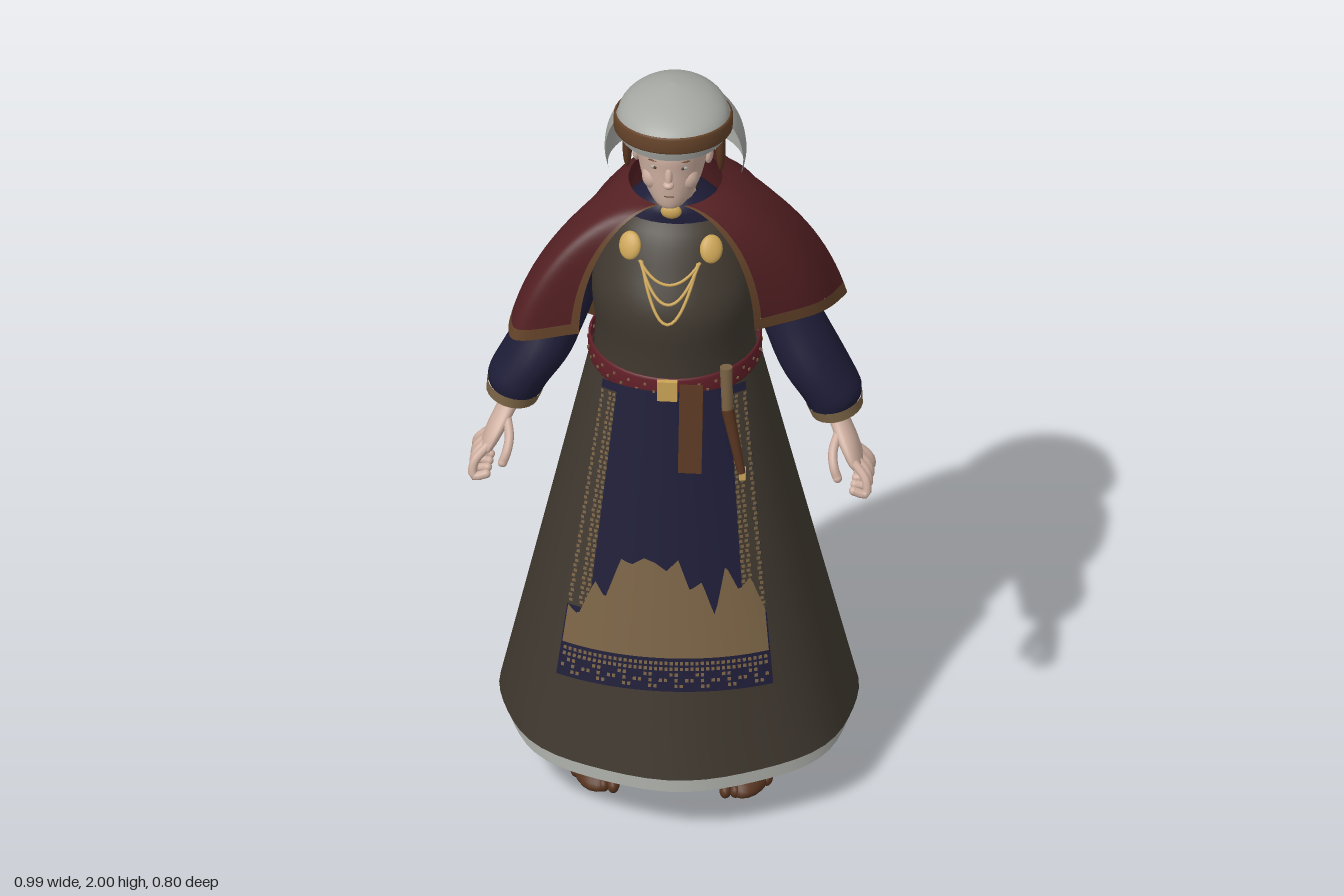
import * as THREE from 'three';
import { mergeVertices, mergeGeometries } from 'three/addons/utils/BufferGeometryUtils.js';

const mat = (name, color) => Object.assign(new THREE.MeshStandardMaterial({ color, side: THREE.DoubleSide }), { name });
const { sin, cos, sqrt, PI } = Math;
const lerp = THREE.MathUtils.lerp;

// Surface from a rule fn(u, v) -> [x, y, z] over a rectangle of u and v
function patch(fn, nu, nv, u0 = 0, u1 = 1, v0 = 0, v1 = 1) {
  const pos = [], idx = [];
  for (let j = 0; j <= nv; j++)
    for (let i = 0; i <= nu; i++) pos.push(...fn(lerp(u0, u1, i / nu), lerp(v0, v1, j / nv)));
  for (let j = 0; j < nv; j++)
    for (let i = 0; i < nu; i++) {
      const a = j * (nu + 1) + i, c = a + nu + 1;
      idx.push(a, a + 1, c, a + 1, c + 1, c);
    }
  let g = new THREE.BufferGeometry();
  g.setAttribute('position', new THREE.Float32BufferAttribute(pos, 3));
  g.setIndex(idx);
  g = mergeVertices(g, 1e-5);
  g.computeVertexNormals();
  return g;
}

// Smoothly interpolated cross-section [x, y, z, rx, rz]
function section(S, t) {
  const f = t * (S.length - 1), i = Math.min(Math.floor(f), S.length - 2), w = f - i;
  const p = (k) => S[Math.max(0, Math.min(S.length - 1, k))];
  return S[0].map((_, c) => {
    const [a, b, d, e] = [p(i - 1)[c], p(i)[c], p(i + 1)[c], p(i + 2)[c]];
    const m = (d - a) / 2, n = (e - b) / 2;
    return b + m * w + (3 * (d - b) - 2 * m - n) * w * w + (2 * (b - d) + m + n) * w ** 3;
  });
}

// Stack of horizontal ellipses, listed from bottom to top
function loft(S, nu = 32, k = 4, a0 = 0, a1 = 2 * PI) {
  return patch((u, v) => {
    const [x, y, z, rx, rz] = section(S, v), a = lerp(a0, a1, u);
    return [x + Math.max(rx, 0) * sin(a), y, z + Math.max(rz, 0) * cos(a)];
  }, nu, (S.length - 1) * k);
}

export function createModel() {
  const M = {
    dress: mat('dress wool', 0x403930), linen: mat('linen', 0xa6a8a3), navy: mat('navy cloth', 0x1e1d38),
    cape: mat('cape red', 0x542023), trim: mat('trim brown', 0x66442a), tan: mat('embroidery tan', 0x7a6345),
    gold: mat('gold', 0xcaa355), skin: mat('skin', 0xcfb0a1), leather: mat('leather', 0x583520), belt: mat('belt red', 0x621f28),
  };
  const root = new THREE.Group();
  const add = (name, geo, m, p = [0, 0, 0], r = [0, 0, 0]) => {
    const mesh = new THREE.Mesh(geo, m);
    mesh.name = name;
    mesh.position.set(...p);
    mesh.rotation.set(...r);
    root.add(mesh);
    return mesh;
  };
  const blob = (name, m, p, s, r) => add(name, new THREE.SphereGeometry(1, 16, 12), m, p, r).scale.set(...s);
  const tube = (pts, r, n = 12) =>
    new THREE.TubeGeometry(new THREE.CatmullRomCurve3(pts.map((p) => new THREE.Vector3(...p))), n, r, 8);

  // Skirt and linen underskirt
  const skirtAt = (y) => {
    const t = (y - 0.185) / 1.035;
    return { cx: 0.008 * (1 - t), cz: 0.025 * t, rx: lerp(0.44, 0.205, t), rz: lerp(0.402, 0.212, t), t };
  };
  const skirtRule = (k, y0, y1) => (u, v) => {
    const y = lerp(y0, y1, v), s = skirtAt(y), a = u * 2 * PI;
    const f = k * (1 + 0.012 * sin(7 * a + 1) * (1 - s.t));
    return [s.cx + f * s.rx * sin(a), y, s.cz + f * s.rz * cos(a)];
  };
  add('skirt', patch(skirtRule(1, 0.185, 1.22), 56, 12), M.dress);
  add('underskirt', patch(skirtRule(0.94, 0.14, 1.1), 56, 10), M.linen);

  // Apron: u runs -1..1 across, v is the height
  const apronRule = (off) => (u, y) => {
    const s = skirtAt(y), t = (y - 0.43) / 0.79;
    const x = u * lerp(0.267, 0.175, t) + 0.012 * t;
    return [x, y, s.cz + s.rz * sqrt(1 - (x / (s.rx * 1.25)) ** 2) + lerp(0.02, 0.012, t) + off];
  };
  add('apron', patch(apronRule(0), 20, 14, -1, 1, 0.43, 1.22), M.navy);
  const jag = [0.62, 0.6, 0.7, 0.66, 0.77, 0.76, 0.78, 0.77, 0.75, 0.78, 0.7, 0.72, 0.63, 0.76, 0.69, 0.72, 0.62];
  const jagged = (u, v) => {
    const f = ((u + 1) / 2) * 16, i = Math.min(15, Math.floor(f));
    return apronRule(0.004)(u, lerp(0.52, lerp(jag[i], jag[i + 1], f - i), v));
  };
  add('apronPanel', patch(jagged, 64, 4, -0.99, 0.99), M.tan);
  const bits = [];
  for (let i = 0; i < 40; i++)
    for (let j = 0; j < 5; j++) {
      if ((i * i + j * 3 + i * j) % 5 < 2) continue;
      const u = -0.97 + i * 0.049, y = 0.442 + j * 0.015;
      bits.push(patch(apronRule(0.004), 1, 1, u, u + 0.03, y, y + 0.009));
    }
  for (const s of [-1, 1]) {
    const [a, b] = s < 0 ? [-1, -0.78] : [0.78, 1];
    add('apronSideBorder', patch(apronRule(0.003), 3, 12, a, b, 0.62, 1.2), M.dress);
    for (let j = 0; j < 44; j++)
      for (const u of [0.8, 0.86, 0.97]) {
        const y = 0.63 + j * 0.013, c = s * (u + 0.012 * (j % 2));
        bits.push(patch(apronRule(0.006), 1, 1, c - 0.018, c + 0.018, y, y + 0.008));
      }
  }
  add('apronEmbroidery', mergeGeometries(bits), M.tan);

  // Bodice and undershirt yoke
  const bodice = [[0, 1.2, 0.025, 0.2, 0.21], [0, 1.3, 0.03, 0.195, 0.21], [0, 1.42, 0.048, 0.203, 0.197],
    [0, 1.52, 0.04, 0.187, 0.16], [0, 1.6, 0.035, 0.155, 0.12], [0, 1.635, 0.03, 0.12, 0.09]];
  add('bodice', loft(bodice), M.dress);
  add('undershirt', loft([[0, 1.45, 0.02, 0.19, 0.15], [0, 1.55, 0.02, 0.18, 0.12], [0, 1.62, 0.025, 0.14, 0.1],
    [0, 1.665, 0.03, 0.095, 0.09], [0, 1.69, 0.035, 0.06, 0.06]]), M.navy);

  // Belt, buckle and hanging pieces
  const ring = (y0, y1, z, rx, rz) => [[0, y0, z, rx - 0.006, rz - 0.006], [0, y0 + 0.005, z, rx, rz],
    [0, y1 - 0.005, z, rx, rz], [0, y1, z, rx - 0.006, rz - 0.006]];
  add('belt', loft(ring(1.2, 1.255, 0.025, 0.213, 0.223), 48, 2), M.belt);
  const studs = [];
  for (let i = 0; i < 60; i++) {
    const a = ((i + 0.5) / 60) * 2 * PI;
    studs.push(new THREE.BoxGeometry(0.006, 0.006, 0.006).rotateY(a)
      .translate(0.213 * sin(a), 1.218 + 0.018 * (i % 2), 0.025 + 0.223 * cos(a)));
  }
  add('beltStuds', mergeGeometries(studs), M.tan);
  add('buckle', new THREE.BoxGeometry(0.05, 0.055, 0.014), M.gold, [0, 1.227, 0.253]);
  add('hangingStrap', new THREE.BoxGeometry(0.058, 0.23, 0.01), M.leather, [0.06, 1.135, 0.28], [-0.2, 0, 0]);
  add('knifeHandle', new THREE.CylinderGeometry(0.016, 0.014, 0.12, 10), M.tan, [0.145, 1.23, 0.234], [-0.05, 0, 0.03]);
  add('knifeSheath', new THREE.CylinderGeometry(0.016, 0.01, 0.18, 10), M.leather, [0.165, 1.085, 0.246], [-0.08, 0, 0.2]);
  add('sheathTip', new THREE.BoxGeometry(0.016, 0.03, 0.02), M.gold, [0.185, 0.99, 0.245]);

  // Arms, hands, legs and brooches on both sides
  for (const s of [-1, 1]) {
    const side = s > 0 ? 'left' : 'right';
    const flip = (S) => S.map(([x, ...r]) => [x * s, ...r]);
    // Hem of the sleeve rises toward the outside
    const slant = (geo) => {
      const p = geo.attributes.position;
      for (let i = 0; i < p.count; i++) {
        const w = THREE.MathUtils.clamp((1.25 - p.getY(i)) / 0.15, 0, 1);
        p.setY(i, p.getY(i) + 0.2 * w * (p.getX(i) * s - 0.39));
      }
      geo.computeVertexNormals();
      return geo;
    };
    add(side + 'Sleeve', slant(loft(flip([[0.392, 1.085, 0.03, 0.066, 0.08], [0.382, 1.12, 0.028, 0.074, 0.088],
      [0.335, 1.2, 0.015, 0.083, 0.097], [0.29, 1.3, 0.008, 0.08, 0.075], [0.25, 1.4, 0.005, 0.07, 0.06],
      [0.2, 1.52, 0.01, 0.07, 0.075], [0.12, 1.62, 0.02, 0.05, 0.06]]), 24)), M.navy);
    add(side + 'Cuff', slant(loft(flip([[0.399, 1.06, 0.035, 0.064, 0.076], [0.392, 1.088, 0.03, 0.069, 0.083]]), 24, 2)), M.tan);
    add(side + 'Hand', loft(flip([[0.455, 0.945, 0.107, 0.004, 0.02], [0.452, 0.957, 0.105, 0.018, 0.053],
      [0.432, 1.0, 0.09, 0.024, 0.053], [0.405, 1.05, 0.06, 0.026, 0.038], [0.38, 1.11, 0.035, 0.028, 0.034]]), 18), M.skin);
    const digits = [0, 1, 2, 3].map((i) => [[0.45, 0.97, 0.065 + 0.026 * i], [0.482, 0.935, 0.06 + 0.036 * i],
      [0.482, 0.902, 0.055 + 0.041 * i], [0.452, 0.886 + 0.008 * i, 0.053 + 0.042 * i]]);
    digits.push([[0.41, 1.03, 0.09], [0.398, 0.995, 0.14], [0.403, 0.965, 0.165], [0.412, 0.94, 0.172]]);
    digits.forEach((d) => {
      const pts = flip(d);
      add(side + 'Finger', tube(pts, 0.0115), M.skin);
      blob(side + 'Fingertip', M.skin, pts[3], [0.0115, 0.0115, 0.0115]);
    });
    add(side + 'Leg', loft(flip([[0.178, 0, 0.06, 0, 0], [0.178, 0.003, 0.06, 0.06, 0.13], [0.178, 0.028, 0.058, 0.071, 0.144],
      [0.172, 0.06, 0.035, 0.062, 0.118], [0.163, 0.1, -0.02, 0.05, 0.072], [0.158, 0.15, -0.042, 0.045, 0.05],
      [0.155, 0.35, -0.05, 0.055, 0.06], [0.14, 0.6, -0.02, 0.06, 0.065], [0.12, 0.9, 0, 0.07, 0.07]]), 24), M.leather);
    for (let i = 0; i < 5; i++)
      blob(side + 'Toe', M.leather, [s * (0.138 + 0.024 * i), 0.02, 0.188 - 0.004 * i * i], [0.015, 0.019, 0.022]);
    blob(side + 'Brooch', M.gold, [s * 0.1, 1.582, 0.152], [0.029, 0.036, 0.013], [-0.5, s * 0.3, 0]);

    // Facial details and hair at the temples
    blob(side + 'Eye', M.linen, [s * 0.034, 1.847, 0.199], [0.013, 0.005, 0.005]);
    blob(side + 'Iris', M.leather, [s * 0.034, 1.847, 0.203], [0.004, 0.004, 0.003]);
    blob(side + 'Brow', M.trim, [s * 0.036, 1.866, 0.201], [0.017, 0.002, 0.004], [0, s * 0.3, 0]);
    blob(side + 'Cheek', M.skin, [s * 0.04, 1.8, 0.165], [0.03, 0.035, 0.03]);
    blob(side + 'Ear', M.skin, [s * 0.088, 1.825, 0.09], [0.012, 0.03, 0.02]);
    blob(side + 'Braid', M.leather, [s * 0.115, 1.815, 0.055], [0.012, 0.065, 0.02]);
  }

  // Necklace chains and collar clasp
  const chestZ = (x, y) => {
    const i = bodice.findIndex((b, k) => k > 0 && b[1] >= y), a = bodice[i - 1], b = bodice[i];
    const [, , z, rx, rz] = a.map((v, c) => lerp(v, b[c], (y - a[1]) / (b[1] - a[1])));
    return z + rz * sqrt(1 - (x / rx) ** 2) + 0.009;
  };
  [0.045, 0.09, 0.135].forEach((sag, k) => {
    const pts = [];
    for (let i = -5; i <= 5; i++) {
      const x = (i / 5) * (0.075 + 0.006 * k) * (1 - 0.1 * k), y = 1.555 - sag * (1 - (i / 5) ** 2);
      pts.push([x, y, chestZ(x, y)]);
    }
    add('necklaceChain', tube(pts, 0.004, 30), M.gold);
  });
  blob('collarClasp', M.gold, [0, 1.677, 0.137], [0.026, 0.02, 0.014]);

  // Cape: sweeps from the collar out to an uneven hem, lowest behind
  const hem = new THREE.CatmullRomCurve3([[-0.22, 1.36, 0.22], [-0.385, 1.345, 0.235], [-0.375, 1.35, 0.06], [-0.3, 1.24, -0.1],
    [-0.2, 1.13, -0.21], [0, 1.07, -0.29], [0.2, 1.12, -0.28], [0.36, 1.22, -0.23], [0.41, 1.29, -0.12],
    [0.35, 1.34, 0.05], [0.21, 1.38, 0.2]].map((p) => new THREE.Vector3(...p)));
  const capeRule = (u, v) => {
    const h = hem.getPoint(u), a = -lerp(0.26, 2 * PI - 0.26, u), q = (v * PI) / 2;
    const n = [0.115 * sin(a), 1.7 - 0.01 * cos(a), 0.015 + 0.12 * cos(a)];
    const k = 0.5 * sin(a) ** 2, out = lerp(sin(q), v, k), drop = lerp(1 - cos(q), v, k);
    const back = Math.max(0, -cos(a));
    const f = 1 + 0.03 * sin(u * 44) * sin(u * PI) * sin(v * PI * 0.8)
      + 0.06 * back ** 4 * sin(u * 110) * sin(PI * sqrt(v)) * (1 - v);
    return [lerp(n[0], h.x, out) * f, lerp(n[1], h.y, drop), lerp(n[2], h.z, out) * f];
  };
  add('cape', patch(capeRule, 130, 18, 0.012, 0.988, 0, 0.94), M.cape);
  add('capeHemTrim', patch(capeRule, 130, 2, 0, 1, 0.94, 1), M.trim);
  add('capeFrontTrim', patch(capeRule, 2, 18, 0, 0.012, 0, 0.94), M.trim);
  add('capeFrontTrim', patch(capeRule, 2, 18, 0.988, 1, 0, 0.94), M.trim);

  // Head and neck
  add('neck', loft([[0, 1.63, 0.035, 0.062, 0.062], [0, 1.7, 0.055, 0.052, 0.055], [0, 1.79, 0.075, 0.055, 0.06]], 24), M.skin);
  add('head', loft([[0, 1.715, 0.15, 0, 0], [0, 1.72, 0.145, 0.03, 0.045], [0, 1.737, 0.135, 0.05, 0.067],
    [0, 1.78, 0.115, 0.073, 0.092], [0, 1.83, 0.1, 0.085, 0.11], [0, 1.88, 0.095, 0.09, 0.118], [0, 1.94, 0.085, 0.085, 0.11]]), M.skin);
  blob('noseBridge', M.skin, [0, 1.83, 0.206], [0.01, 0.032, 0.012], [-0.25, 0, 0]);
  blob('noseTip', M.skin, [0, 1.804, 0.214], [0.014, 0.01, 0.014]);
  blob('lips', M.trim, [0, 1.764, 0.2], [0.018, 0.004, 0.006]);
  blob('hair', M.leather, [0, 1.83, 0.025], [0.1, 0.085, 0.095]);

  // Linen cap, veil and headband
  add('cap', loft([[0, 1.88, 0.075, 0.134, 0.147], [0, 1.92, 0.077, 0.139, 0.152], [0, 1.95, 0.07, 0.126, 0.142],
    [0, 1.975, 0.062, 0.092, 0.105], [0, 1.992, 0.055, 0.045, 0.053], [0, 2, 0.052, 0, 0]], 40), M.linen);
  add('veil', loft([[0, 1.73, 0.0, 0.167, 0.16], [0, 1.78, 0.01, 0.174, 0.172], [0, 1.84, 0.025, 0.168, 0.185],
    [0, 1.89, 0.04, 0.15, 0.168], [0, 1.935, 0.05, 0.12, 0.135]], 40, 4, 1.35, 2 * PI - 1.35), M.linen);
  const band = loft(ring(1.878, 1.924, 0.077, 0.146, 0.159), 40, 2);
  const bp = band.attributes.position;
  for (let i = 0; i < bp.count; i++) bp.setY(i, bp.getY(i) + 0.13 * (bp.getZ(i) - 0.077) + 0.008);
  band.computeVertexNormals();
  add('headband', band, M.trim);

  return root;
}
